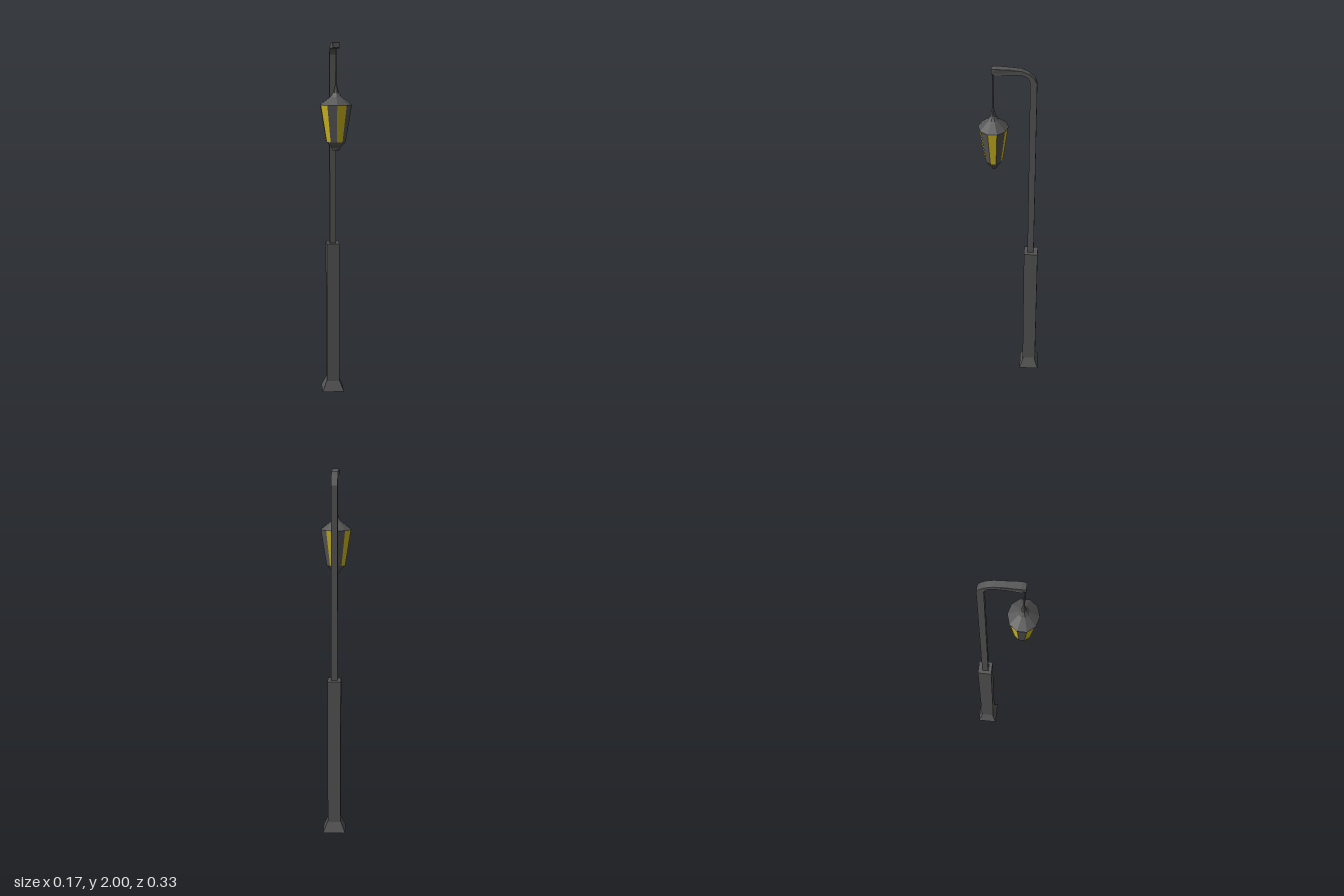
import * as THREE from 'three';

export function createModel() {
  const group = new THREE.Group();
  const iron = new THREE.MeshStandardMaterial({ color: 0x555555, flatShading: true });
  iron.name = 'dark iron';
  const glass = new THREE.MeshStandardMaterial({ color: 0xd2ba22, flatShading: true });
  glass.name = 'yellow glass';

  const add = (name, geometry, material, x = 0, y = 0, z = 0) => {
    const mesh = new THREE.Mesh(geometry, material);
    mesh.name = name;
    mesh.position.set(x, y, z);
    group.add(mesh);
    return mesh;
  };

  // Square foot flaring out below the thick lower column
  const postZ = -0.112;
  const foot = new THREE.CylinderGeometry(0.036 * Math.SQRT2, 0.0625 * Math.SQRT2, 0.065, 4);
  foot.rotateY(Math.PI / 4).scale(1, 1, 0.9);
  add('foot', foot, iron, 0, 0.0325, postZ);
  add('lowerColumn', new THREE.BoxGeometry(0.072, 0.83, 0.076), iron, 0, 0.475, postZ);

  // Upper pole bending forward into the arm: side outline as [z, y]
  const outline = [
    [-0.127, 0.88], [-0.093, 0.88], [-0.093, 1.935], [-0.083, 1.955], [-0.066, 1.966],
    [-0.045, 1.97], [0, 1.97], [0.072, 1.967], [0.095, 1.972], [0.095, 1.997],
    [0.072, 2], [0, 1.997], [-0.05, 1.992], [-0.088, 1.977], [-0.115, 1.952], [-0.127, 1.925],
  ].map(([z, y]) => new THREE.Vector2(z, y));
  const pole = new THREE.ExtrudeGeometry(new THREE.Shape(outline), { depth: 0.034, bevelEnabled: false });
  pole.rotateY(-Math.PI / 2).translate(0.017, 0, 0);
  // Widen the arm slightly just behind its tip
  const p = pole.attributes.position;
  for (let i = 0; i < p.count; i++) {
    if (Math.abs(p.getZ(i) - 0.072) < 0.001) p.setX(i, p.getX(i) * 1.18);
  }
  add('poleAndArm', pole, iron);

  // Hanging lantern: ten sides, slightly narrower front to back
  const lanternZ = 0.088;
  const depthScale = 0.87;
  const sides = 10;
  add('hangingRod', new THREE.CylinderGeometry(0.004, 0.004, 0.22, 6), iron, 0, 1.87, lanternZ);

  const lathe = (name, profile) => {
    const points = profile.map(([r, y]) => new THREE.Vector2(r, y));
    add(name, new THREE.LatheGeometry(points, sides), iron, 0, 0, lanternZ).scale.z = depthScale;
  };
  lathe('lanternRoof', [[0, 1.68], [0.089, 1.68], [0.031, 1.722], [0.015, 1.742], [0.008, 1.775], [0, 1.78]]);
  lathe('lanternBottom', [[0, 1.438], [0.018, 1.44], [0.024, 1.455], [0.053, 1.488], [0, 1.488]]);

  // Alternating glass and iron panels
  const step = (Math.PI * 2) / sides;
  for (let i = 0; i < sides; i++) {
    const isGlass = i % 2 === 0;
    const panel = new THREE.CylinderGeometry(0.086, 0.053, 0.194, 1, 1, true, i * step, step);
    add(isGlass ? 'glassPanel' : 'ironPanel', panel, isGlass ? glass : iron, 0, 1.584, lanternZ)
      .scale.z = depthScale;
  }

  return group;
}
